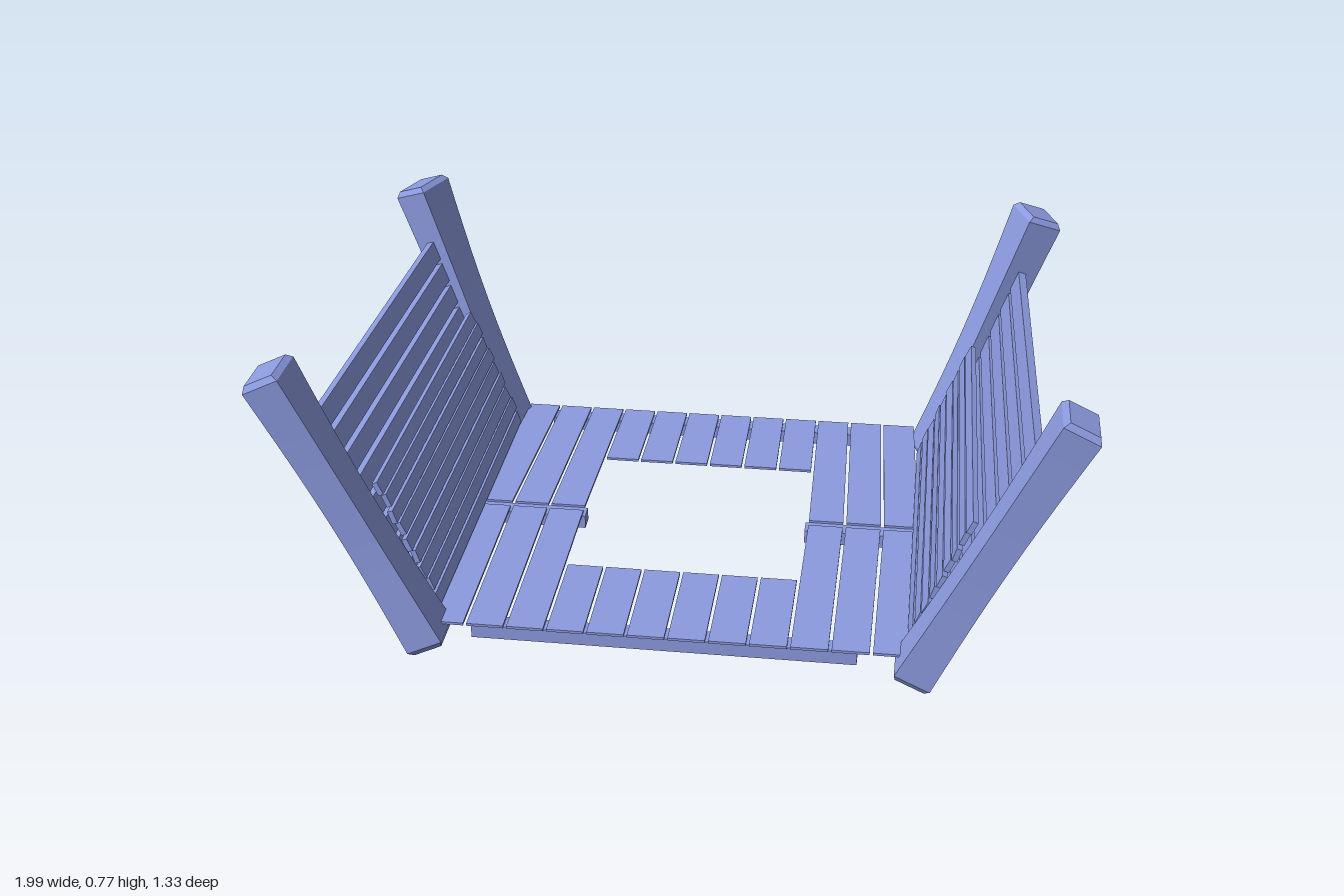
import * as THREE from 'three';

const material = new THREE.MeshStandardMaterial({ color: 0x8c9be0, flatShading: true });
const lerp = THREE.MathUtils.lerp;

function addMesh(parent, name, geometry, x = 0, y = 0, z = 0) {
  const mesh = new THREE.Mesh(geometry, material);
  mesh.name = name;
  mesh.position.set(x, y, z);
  parent.add(mesh);
  return mesh;
}

// Waisted square post with chamfered ends, standing along y about its middle
function postGeometry(length) {
  const rows = 12, chamfer = 0.015;
  const geo = new THREE.BoxGeometry(1, 1, 1, 1, rows, 1);
  const p = geo.attributes.position;
  for (let i = 0; i < p.count; i++) {
    const row = Math.round((p.getY(i) + 0.5) * rows);
    const end = row === 0 || row === rows;
    // first and last rows form the chamfer, the others spread evenly
    const t = end ? row / rows : (row - 1) / (rows - 2);
    const body = length - 2 * chamfer;
    const y = end ? (t - 0.5) * length : (t - 0.5) * body;
    const waist = Math.sin(Math.PI * t);
    const inset = end ? 0.02 : 0;
    const width = lerp(0.112, 0.128, t) - 0.022 * waist - inset;
    const thick = 0.098 - 0.012 * waist - inset;
    p.setXYZ(i, p.getX(i) * thick, y, p.getZ(i) * width);
  }
  geo.computeVertexNormals();
  return geo;
}

// Post from a bottom point to a top point, turned by yaw and leaning outwards
function addPost(parent, name, side, bottom, top, yaw) {
  const run = Math.hypot(top[0] - bottom[0], top[2] - bottom[2]);
  const rise = top[1] - bottom[1];
  const post = addMesh(parent, name, postGeometry(Math.hypot(run, rise)),
    side * (bottom[0] + top[0]) / 2, (bottom[1] + top[1]) / 2, (bottom[2] + top[2]) / 2);
  post.rotation.order = 'YXZ';
  post.rotation.set(0, side * yaw, -side * Math.atan2(run, rise));
}

// Board running from a back point to a front point, leaning outwards
function addSlat(parent, name, side, back, front, height, thick, lean) {
  const a = new THREE.Vector3(side * back[0], back[1], back[2]);
  const b = new THREE.Vector3(side * front[0], front[1], front[2]);
  const slat = addMesh(parent, name, new THREE.BoxGeometry(thick, height, a.distanceTo(b)));
  slat.position.copy(a).add(b).multiplyScalar(0.5);
  slat.lookAt(b);
  slat.rotateZ(-side * lean);
}

// Floor plank; the back half narrows slightly towards the rear
function addPlank(parent, x, z0, z1) {
  const geo = new THREE.BoxGeometry(0.093, 0.007, z1 - z0);
  geo.translate(x, 0.075, (z0 + z1) / 2);
  const p = geo.attributes.position;
  for (let i = 0; i < p.count; i++) {
    p.setX(i, p.getX(i) * (1 + 0.09 * Math.min(0, p.getZ(i))));
  }
  geo.computeVertexNormals();
  addMesh(parent, 'floorPlank', geo);
}

function createWall(side) {
  const wall = new THREE.Group();
  wall.name = side > 0 ? 'leftWall' : 'rightWall';

  addPost(wall, 'frontPost', side, [0.598, 0.02, 0.6], [0.955, 0.76, 0.6], 0);
  addPost(wall, 'backPost', side, [0.62, 0.02, -0.503], [0.88, 0.762, -0.596], 0.34);

  // outer boards
  for (let i = 0; i < 9; i++) {
    const t = i / 8, y = 0.07 + 0.0645 * i;
    addSlat(wall, 'outerSlat', side,
      [lerp(0.65, 0.835, t), y - 0.002, -lerp(0.46, 0.525, t)],
      [lerp(0.655, 0.86, t), y + 0.003, lerp(0.575, 0.545, t)],
      0.054, 0.022, 0.37);
  }

  // lower inner lining of narrow overlapping boards
  for (let i = 0; i < 9; i++) {
    const t = i / 8, y = 0.1 + 0.0395 * i, shift = (i % 2) * 0.012;
    addSlat(wall, 'innerSlat', side,
      [lerp(0.595, 0.715, t), y, (side > 0 ? -0.4 : -0.44) - shift],
      [lerp(0.6, 0.725, t), y, 0.54 - shift],
      0.036, 0.014, 0.3 + (i % 3) * 0.06);
  }
  return wall;
}

export function createModel() {
  const model = new THREE.Group();
  model.name = 'openTimberEnclosure';
  model.add(createWall(1), createWall(-1));

  // plank floor around a square opening
  const floor = new THREE.Group();
  floor.name = 'floor';
  for (let i = 0; i < 12; i++) {
    const x = (i - 5.5) * 0.1015 - 0.005;
    const outer = i < 3 || i > 8;
    addPlank(floor, x, outer ? 0.025 : 0.3, 0.6);
    addPlank(floor, x, -0.565, outer ? 0.002 : -0.27);
  }
  model.add(floor);

  // joists under the floor
  addMesh(model, 'frontJoist', new THREE.BoxGeometry(0.965, 0.037, 0.045), -0.015, 0.054, 0.573);
  addMesh(model, 'backJoist', new THREE.BoxGeometry(0.965, 0.037, 0.045), -0.015, 0.054, -0.525);
  for (const side of [1, -1]) {
    addMesh(model, 'sideJoist', new THREE.BoxGeometry(0.3, 0.037, 0.045), side * 0.45 - 0.005, 0.054, 0.025);
  }
  return model;
}
